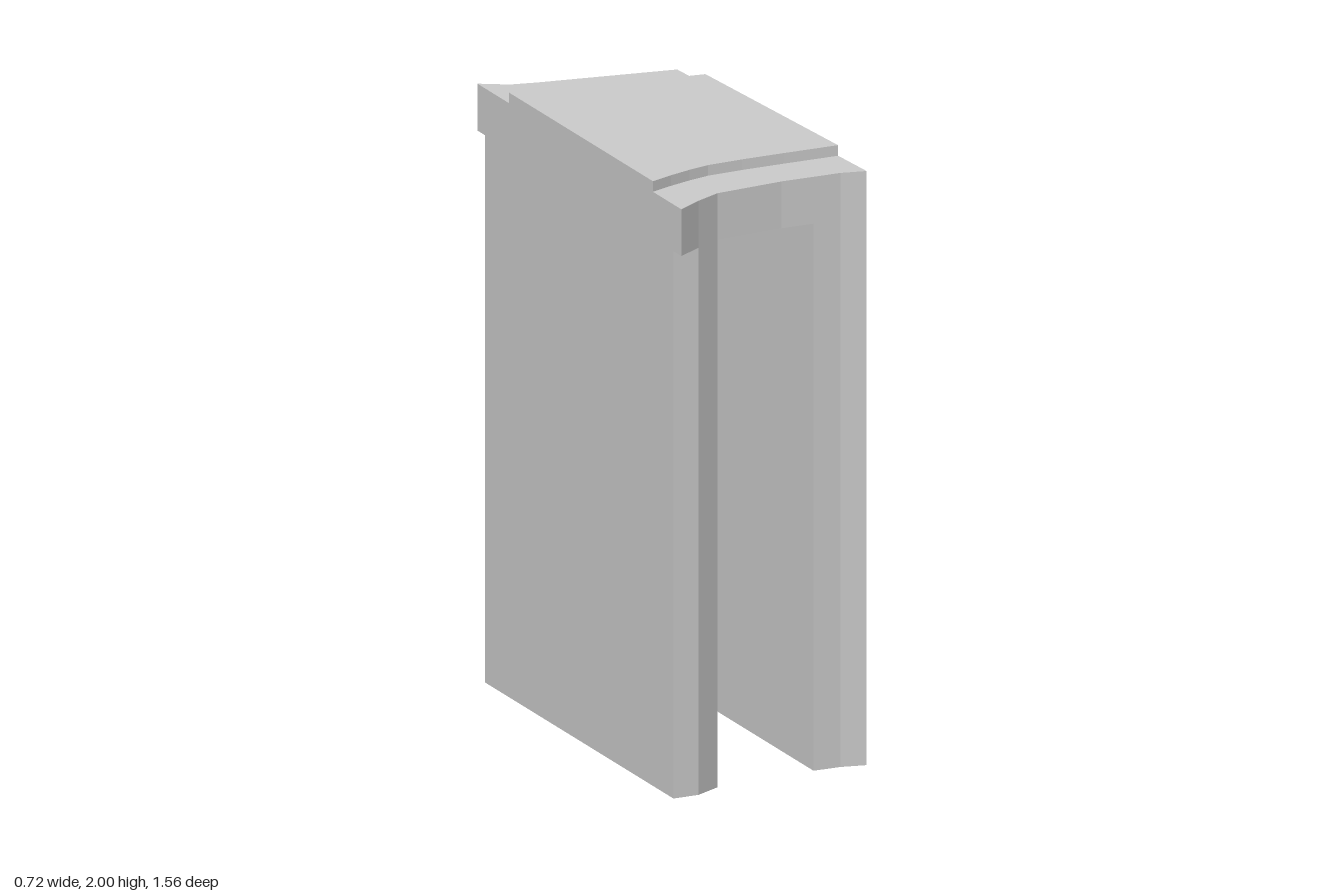
import * as THREE from 'three';

const material = new THREE.MeshStandardMaterial({ color: 0xcccccc, flatShading: true });

// Upright prism: plan outline given as [x, z] points, raised from y0 to y1.
function prism(name, plan, y0, y1) {
  const shape = new THREE.Shape(plan.map(([x, z]) => new THREE.Vector2(x, -z)));
  const geometry = new THREE.ExtrudeGeometry(shape, { depth: y1 - y0, bevelEnabled: false });
  geometry.rotateX(-Math.PI / 2).translate(0, y0, 0);
  const mesh = new THREE.Mesh(geometry, material);
  mesh.name = name;
  return mesh;
}

export function createModel() {
  const group = new THREE.Group();
  group.name = 'archway';

  // Two long walls with a straight passage between them
  group.add(prism('rightWall', [
    [-0.36, 0.72], [-0.27, 0.715], [-0.18, 0.662],
    [-0.18, -0.715], [-0.27, -0.728], [-0.36, -0.725],
  ], 0, 1.81));
  group.add(prism('leftWall', [
    [0.175, 0.618], [0.27, 0.615], [0.355, 0.63],
    [0.281, -0.665], [0.175, -0.676],
  ], 0, 1.81));

  // Roof slab with curved ends, overhanging the right wall
  group.add(prism('roofSlab', [
    [-0.36, 0.78], [-0.27, 0.715], [-0.18, 0.662], [0.06, 0.625], [0.27, 0.615], [0.355, 0.63],
    [0.284, -0.665], [-0.18, -0.715], [-0.27, -0.73], [-0.36, -0.782],
  ], 1.81, 1.965));

  // Thin raised cap set back from both ends
  group.add(prism('roofCap', [
    [-0.36, 0.563], [-0.28, 0.525], [-0.2, 0.493], [-0.125, 0.469], [0, 0.455], [0.15, 0.445], [0.344, 0.435],
    [0.294, -0.471], [0.05, -0.486], [-0.19, -0.496], [-0.25, -0.505], [-0.3, -0.517], [-0.36, -0.539],
  ], 1.965, 2));

  return group;
}
